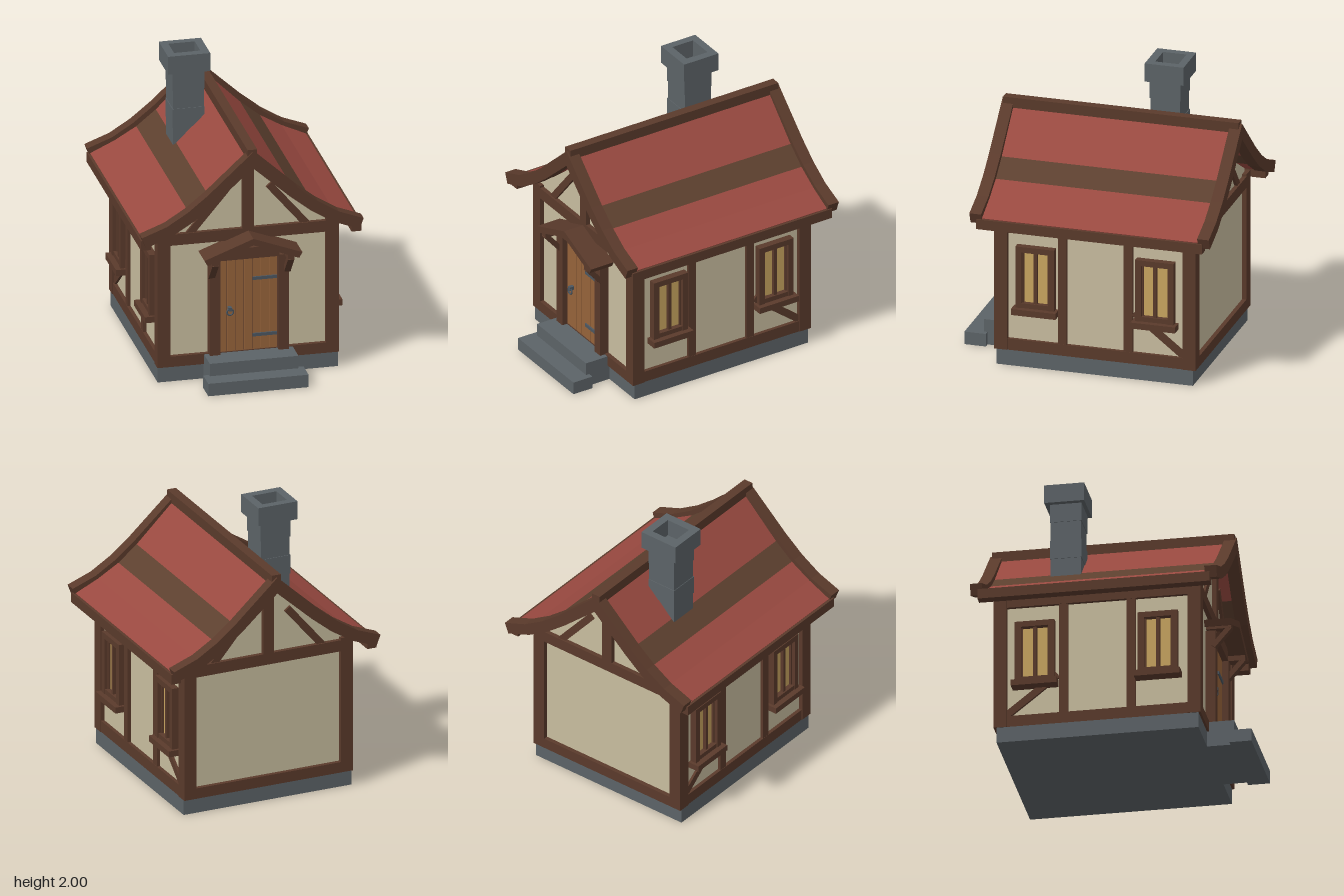
import * as THREE from 'three';

const paint = (name, color) => {
  const m = new THREE.MeshStandardMaterial({ color });
  m.name = name;
  return m;
};

export function createModel() {
  const house = new THREE.Group();
  house.name = 'cottage';
  const timber = paint('dark timber', 0x5a3a2b);
  const band = paint('roof band brown', 0x5d402f);
  const tile = paint('roof red', 0x994940);
  const plaster = paint('plaster', 0xc8bd9f);
  const stone = paint('grey stone', 0x5c6367);
  const oak = paint('door oak', 0x96633a);
  const glass = paint('warm glass', 0xc8a560);
  const iron = paint('iron', 0x4b5660);

  const add = (name, geo, mat) => {
    const m = new THREE.Mesh(geo, mat);
    m.name = name;
    house.add(m);
    return m;
  };
  // Box given by its limits on each axis
  const box = (name, mat, x0, x1, y0, y1, z0, z1) => {
    const m = add(name, new THREE.BoxGeometry(Math.abs(x1 - x0), y1 - y0, Math.abs(z1 - z0)), mat);
    m.position.set((x0 + x1) / 2, (y0 + y1) / 2, (z0 + z1) / 2);
    return m;
  };
  // Outline in x,y extruded from z0 to z1
  const prism = (name, mat, pts, z0, z1) => {
    const shape = new THREE.Shape(pts.map(([x, y]) => new THREE.Vector2(x, y)));
    const g = new THREE.ExtrudeGeometry(shape, { depth: z1 - z0, bevelEnabled: false });
    return add(name, g.translate(0, 0, z0), mat);
  };
  // Beam between two points in the x,y plane
  const braceXY = (name, x0, y0, x1, y1, w, z0, z1) => {
    const m = add(name, new THREE.BoxGeometry(Math.hypot(x1 - x0, y1 - y0), w, z1 - z0), timber);
    m.position.set((x0 + x1) / 2, (y0 + y1) / 2, (z0 + z1) / 2);
    m.rotation.z = Math.atan2(y1 - y0, x1 - x0);
  };
  // Beam between two points in the z,y plane
  const braceZY = (name, z0, y0, z1, y1, w, xMid, d) => {
    const m = add(name, new THREE.BoxGeometry(d, w, Math.hypot(z1 - z0, y1 - y0)), timber);
    m.position.set(xMid, (y0 + y1) / 2, (z0 + z1) / 2);
    m.rotation.x = -Math.atan2(y1 - y0, z1 - z0);
  };

  // Foundation and steps
  box('foundation', stone, -0.62, 0.62, 0, 0.11, -0.765, 0.61);
  box('upperStep', stone, -0.305, 0.305, 0, 0.18, 0.6, 0.795);
  box('lowerStep', stone, -0.345, 0.345, 0, 0.09, 0.77, 0.92);

  // Plastered body with both gables
  const eaveLine = [[0.595, 1.1], [0.575, 1.12], [0.425, 1.21], [0.29, 1.32], [0, 1.6]];
  const half = [[0.595, 0.1], ...eaveLine];
  prism('plasterWalls', plaster,
    [...half, ...half.slice(0, -1).reverse().map(([x, y]) => [-x, y])], -0.755, 0.595);

  // Front and back timber frames
  for (const [z0, z1, side] of [[0.55, 0.625, 'front'], [-0.785, -0.71, 'back']]) {
    box(side + 'BottomBeam', timber, -0.54, 0.54, 0.11, 0.185, z0, z1);
    box(side + 'TopBeam', timber, -0.54, 0.54, 0.99, 1.07, z0, z1);
    box(side + 'KingPost', timber, -0.04, 0.04, 1.07, 1.6, z0, z1);
    for (const s of [-1, 1])
      braceXY(side + 'GableBrace', s * 0.145, 1.365, s * 0.405, 1.055, 0.05, z0 + 0.01, z1 - 0.01);
  }

  // Long side walls, with windows
  for (const s of [-1, 1]) {
    box('frontCornerPost', timber, s * 0.535, s * 0.625, 0.11, 1.085, 0.535, 0.625);
    box('backCornerPost', timber, s * 0.535, s * 0.625, 0.11, 1.085, -0.785, -0.695);
    box('sideBottomBeam', timber, s * 0.55, s * 0.62, 0.11, 0.19, -0.7, 0.54);
    box('sideTopBeam', timber, s * 0.55, s * 0.62, 0.99, 1.07, -0.7, 0.54);
    box('sidePost', timber, s * 0.55, s * 0.618, 0.19, 0.99, 0.12, 0.18);
    box('sidePost', timber, s * 0.55, s * 0.618, 0.19, 0.99, -0.34, -0.28);
    braceZY('sideBrace', -0.35, 0.475, -0.7, 0.2, 0.05, s * 0.59, 0.045);
    for (const c of [0.336, -0.502]) {
      box('windowGlass', glass, s * 0.597, s * 0.604, 0.44, 0.84, c - 0.1, c + 0.1);
      for (const e of [-1, 1]) {
        box('windowJamb', timber, s * 0.58, s * 0.645, 0.43, 0.87, c + e * 0.093, c + e * 0.135);
        box('windowSash', timber, s * 0.59, s * 0.62, 0.45, 0.83, c + e * 0.084, c + e * 0.095);
      }
      box('windowHead', timber, s * 0.58, s * 0.645, 0.83, 0.87, c - 0.094, c + 0.094);
      box('windowFoot', timber, s * 0.58, s * 0.64, 0.43, 0.463, c - 0.094, c + 0.094);
      box('windowMullion', timber, s * 0.59, s * 0.63, 0.46, 0.83, c - 0.012, c + 0.012);
      box('windowSill', timber, s * 0.58, s * 0.68, 0.387, 0.43, c - 0.156, c + 0.156);
    }
  }

  // Curved roof: slabs and rake beams, one per step of the slope
  const offset = (pts, d) => pts.map(([x, y], i) => {
    const a = pts[Math.max(i - 1, 0)], b = pts[Math.min(i + 1, pts.length - 1)];
    const l = Math.hypot(b[0] - a[0], b[1] - a[1]);
    return i ? [x + d * (b[1] - a[1]) / l, y - d * (b[0] - a[0]) / l] : [x, y - d * 1.42];
  });
  const slope = [[0, 1.645], [0.29, 1.36], [0.425, 1.25], [0.575, 1.162], [0.742, 1.085]];
  const rake = [[0, 1.67], [0.31, 1.385], [0.447, 1.275], [0.592, 1.185], [0.763, 1.12]];
  const slopeUnder = offset(slope, 0.04), rakeUnder = offset(rake, 0.08);
  for (const s of [-1, 1]) {
    const quad = (top, low, i) =>
      [top[i], top[i + 1], low[i + 1], low[i]].map(([x, y]) => [s * x, y]);
    for (let i = 0; i < 4; i++) {
      prism(i === 1 ? 'roofBand' : 'roofSlab', i === 1 ? band : tile, quad(slope, slopeUnder, i), -0.85, 0.69);
      prism('frontRakeBeam', timber, quad(rake, rakeUnder, i), 0.675, 0.757);
      prism('backRakeBeam', timber, quad(rake, rakeUnder, i), -0.92, -0.838);
    }
    box('eaveBeam', timber, s * 0.69, s * 0.758, 1.01, 1.08, -0.87, 0.71);
  }
  box('ridgeBeam', timber, -0.033, 0.033, 1.61, 1.685, -0.905, 0.745);

  // Door with frame, planks and ironwork
  for (let i = 0; i < 7; i++) {
    const x = -0.203 + i * 0.058;
    box('doorPlank', oak, x + 0.0025, x + 0.0555, 0.18, 0.865, 0.58, 0.62);
  }
  box('doorBacking', timber, -0.2, 0.2, 0.18, 0.86, 0.59, 0.608);
  box('doorLintel', timber, -0.205, 0.205, 0.86, 0.94, 0.58, 0.66);
  for (const y of [0.29, 0.7]) box('doorHinge', iron, 0.03, 0.197, y - 0.011, y + 0.011, 0.615, 0.63);
  const ring = add('doorRing', new THREE.TorusGeometry(0.022, 0.006, 6, 14), iron);
  ring.position.set(-0.13, 0.478, 0.645);
  box('ringMount', iron, -0.142, -0.118, 0.487, 0.512, 0.615, 0.655);

  // Porch: posts, brackets and small pitched roof
  for (const s of [-1, 1]) {
    box('doorPost', timber, s * 0.2, s * 0.272, 0.18, 0.87, 0.58, 0.662);
    box('porchArm', timber, s * 0.237, s * 0.283, 0.875, 0.915, 0.6, 0.77);
    braceZY('porchBracket', 0.645, 0.75, 0.76, 0.885, 0.035, s * 0.26, 0.045);
    prism('porchRoof', timber,
      [[0, 1.05], [s * 0.337, 0.922], [s * 0.315, 0.882], [0, 1.003]], 0.59, 0.775);
  }

  // Chimney: slightly uneven courses under a hollow cap
  for (let i = 0; i < 5; i++) {
    const d = i % 2 ? 0.004 : 0, y = 1.2 + i * 0.135;
    box('chimneyCourse', stone, -0.315 + d, -0.095 - d, y, y + 0.135, -0.457 + d, -0.243 - d);
  }
  const rect = (P, x0, x1, y0, y1) => new P([[x0, y0], [x1, y0], [x1, y1], [x0, y1]]
    .map(([x, y]) => new THREE.Vector2(x, y)));
  const capShape = rect(THREE.Shape, -0.352, -0.062, 0.218, 0.49);
  capShape.holes.push(rect(THREE.Path, -0.298, -0.117, 0.275, 0.438));
  const cap = new THREE.ExtrudeGeometry(capShape, { depth: 0.13, bevelEnabled: false });
  add('chimneyCap', cap.rotateX(-Math.PI / 2).translate(0, 1.87, 0), stone);

  return house;
}
